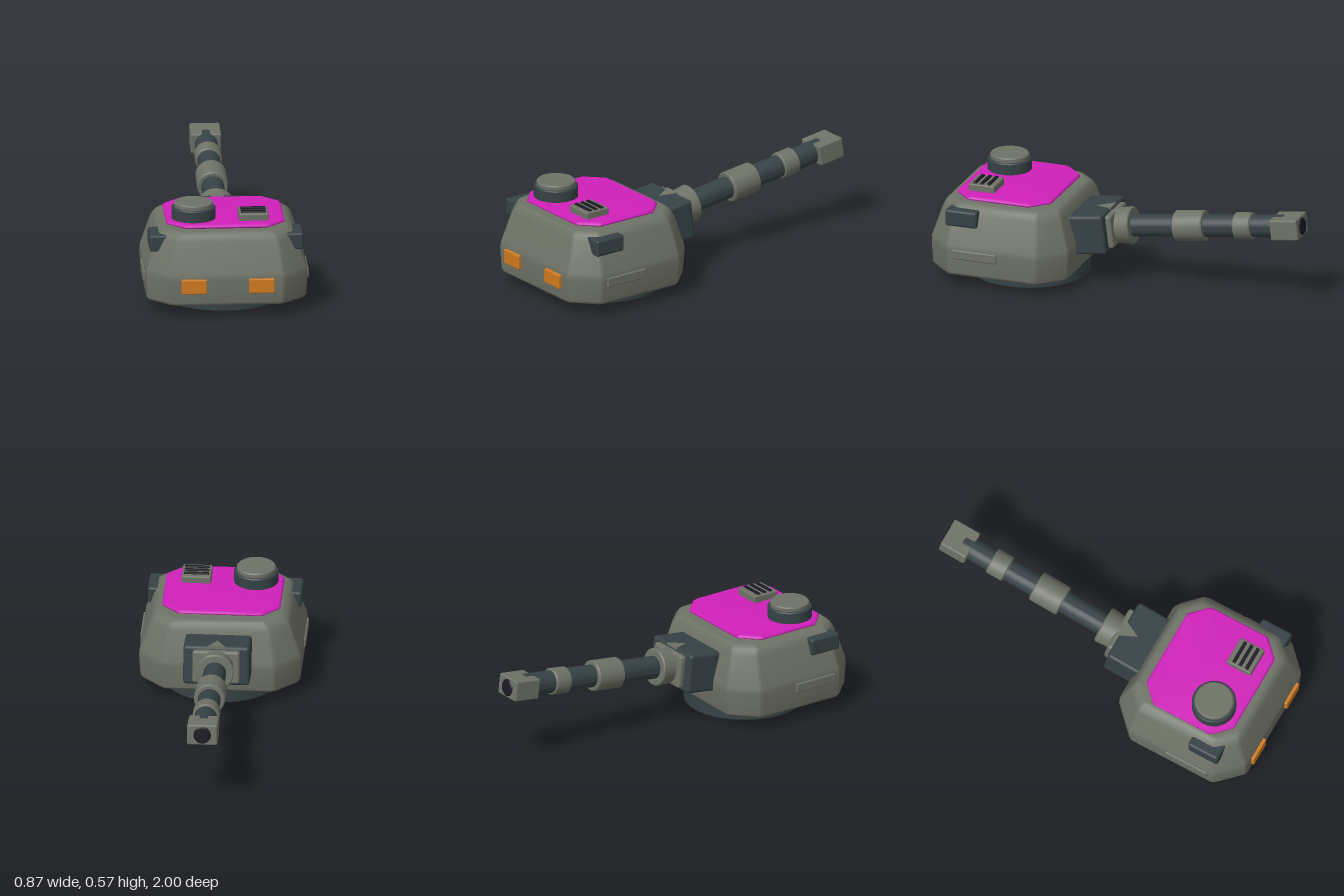
import * as THREE from 'three';
import { toCreasedNormals } from 'three/addons/utils/BufferGeometryUtils.js';
import { RoundedBoxGeometry } from 'three/addons/geometries/RoundedBoxGeometry.js';

function material(name, color) {
  const m = new THREE.MeshStandardMaterial({ color });
  m.name = name;
  return m;
}

// Chamfered-rectangle rings [y, halfWidth, zBack, zFront, chamfer], lofted and capped
function octagonLoft(rings, soft) {
  const pos = [], index = [];
  for (const [y, w, b, f, c] of rings) {
    const corners = [
      [w - c, f], [w, f - c], [w, b + c], [w - c, b],
      [c - w, b], [-w, b + c], [-w, f - c], [c - w, f],
    ].map(([x, z]) => new THREE.Vector2(x, z));
    corners.forEach((p, i) => {
      // each corner becomes two points so the edge reads as a soft bevel
      for (const q of [corners[(i + 7) % 8], corners[(i + 1) % 8]]) {
        const r = p.clone().add(q.clone().sub(p).setLength(soft));
        pos.push(r.x, y, r.y);
      }
    });
  }
  const n = 16, last = (rings.length - 1) * n;
  for (let i = 0; i < rings.length - 1; i++) {
    for (let j = 0; j < n; j++) {
      const a = i * n + j, b = i * n + (j + 1) % n;
      index.push(a, b, b + n, a, b + n, a + n);
    }
  }
  const bottom = pos.length / 3, top = bottom + 1;
  for (const r of [rings[0], rings[rings.length - 1]]) pos.push(0, r[0], (r[2] + r[3]) / 2);
  for (let j = 0; j < n; j++) {
    const k = (j + 1) % n;
    index.push(k, j, bottom, last + j, last + k, top);
  }
  const g = new THREE.BufferGeometry();
  g.setAttribute('position', new THREE.Float32BufferAttribute(pos, 3));
  g.setIndex(index);
  g.computeVertexNormals();
  return g;
}

// Upright drum with chamfered rims, from y0 to y1
function drum(r0, y0, y1, r1 = r0, e = 0.006) {
  const profile = [[0, y0], [r0 - e, y0], [r0, y0 + e], [r1, y1 - e], [r1 - e, y1], [0, y1]];
  const g = new THREE.LatheGeometry(profile.map(p => new THREE.Vector2(...p)), 40);
  return toCreasedNormals(g, 0.6);
}

export function createModel() {
  const grey = material('armourGrey', 0x6e7266);
  const dark = material('darkSteel', 0x364246);
  const pink = material('magenta', 0xd020ba);
  const orange = material('lampOrange', 0xd07a20);
  const black = material('black', 0x1a1922);

  const model = new THREE.Group();
  model.name = 'turret';
  function add(name, geometry, mat, x = 0, y = 0, z = 0, parent = model) {
    const m = new THREE.Mesh(geometry, mat);
    m.name = name;
    m.position.set(x, y, z);
    parent.add(m);
    return m;
  }
  const box = (w, h, d, r) => new RoundedBoxGeometry(w, h, d, 2, r);

  // Hull and turntable
  add('turntable', drum(0.32, 0, 0.09), dark, 0, 0, 0.54);
  add('hull', octagonLoft([
    [0.07, 0.412, 0.232, 0.97, 0.125],
    [0.085, 0.421, 0.222, 0.98, 0.13],
    [0.205, 0.428, 0.214, 0.984, 0.13],
    [0.24, 0.424, 0.217, 0.98, 0.13],
    [0.40, 0.370, 0.263, 0.928, 0.10],
    [0.43, 0.350, 0.278, 0.915, 0.095],
    [0.445, 0.325, 0.290, 0.900, 0.09],
    [0.45, 0.305, 0.305, 0.885, 0.085],
  ], 0.012), grey);
  add('roofPlate', octagonLoft([
    [0.455, 0.300, 0.350, 0.855, 0.090],
    [0.461, 0.311, 0.339, 0.866, 0.092],
    [0.468, 0.311, 0.339, 0.866, 0.092],
    [0.479, 0.300, 0.350, 0.855, 0.090],
  ], 0.008), pink);

  // Roof fittings
  add('hatchBase', drum(0.117, 0.47, 0.542), dark, -0.165, 0, 0.715);
  add('hatchLid', drum(0.103, 0.535, 0.566), grey, -0.165, 0, 0.715);
  add('ventBox', box(0.155, 0.045, 0.145, 0.008), grey, 0.148, 0.494, 0.73);
  for (let i = -1; i <= 1; i++) {
    add('ventSlat', box(0.132, 0.014, 0.019, 0.004), black, 0.148, 0.517, 0.732 + i * 0.038);
  }

  // Mirrored lamps, side pods and side strips
  for (const s of [-1, 1]) {
    add('lamp', box(0.134, 0.078, 0.035, 0.006), orange, s * 0.178, 0.177, 0.983);
    add('sidePod', box(0.115, 0.09, 0.178, 0.013), dark, s * 0.348, 0.38, 0.778);
    add('sideStrip', box(0.03, 0.052, 0.25, 0.007), grey, s * 0.421, 0.19, 0.695);
  }

  // Gun, pointing to the rear and slightly raised
  const gun = new THREE.Group();
  gun.name = 'gun';
  gun.position.set(0, 0.309, 0);
  gun.rotation.x = 0.126;
  model.add(gun);
  add('mantlet', box(0.35, 0.215, 0.225, 0.018), dark, 0, 0, 0.175, gun);
  add('mantletPlate', box(0.25, 0.18, 0.05, 0.015), grey, 0, 0, 0.06, gun);
  const wedge = new THREE.Shape([[-0.045, 0.06], [0.045, 0.06], [0, 0.15]].map(p => new THREE.Vector2(...p)));
  add('mantletWedge', new THREE.ExtrudeGeometry(wedge, { depth: 0.012, bevelEnabled: false })
    .rotateX(Math.PI / 2), grey, 0, 0.111, 0, gun);
  const tube = (name, r, z0, z1, mat, r1 = r) =>
    add(name, drum(r, z0, z1, r1).rotateX(Math.PI / 2), mat, 0, 0, 0, gun);
  tube('collar', 0.1, -0.045, 0.06, grey, 0.092);
  tube('barrel', 0.06, -0.90, 0, dark);
  tube('largeSleeve', 0.082, -0.452, -0.285, grey);
  tube('smallSleeve', 0.071, -0.72, -0.622, grey);
  add('muzzleBlock', box(0.16, 0.112, 0.155, 0.009), grey, 0, 0, -0.918, gun);
  tube('bore', 0.046, -1.002, -0.98, black);

  return model;
}
